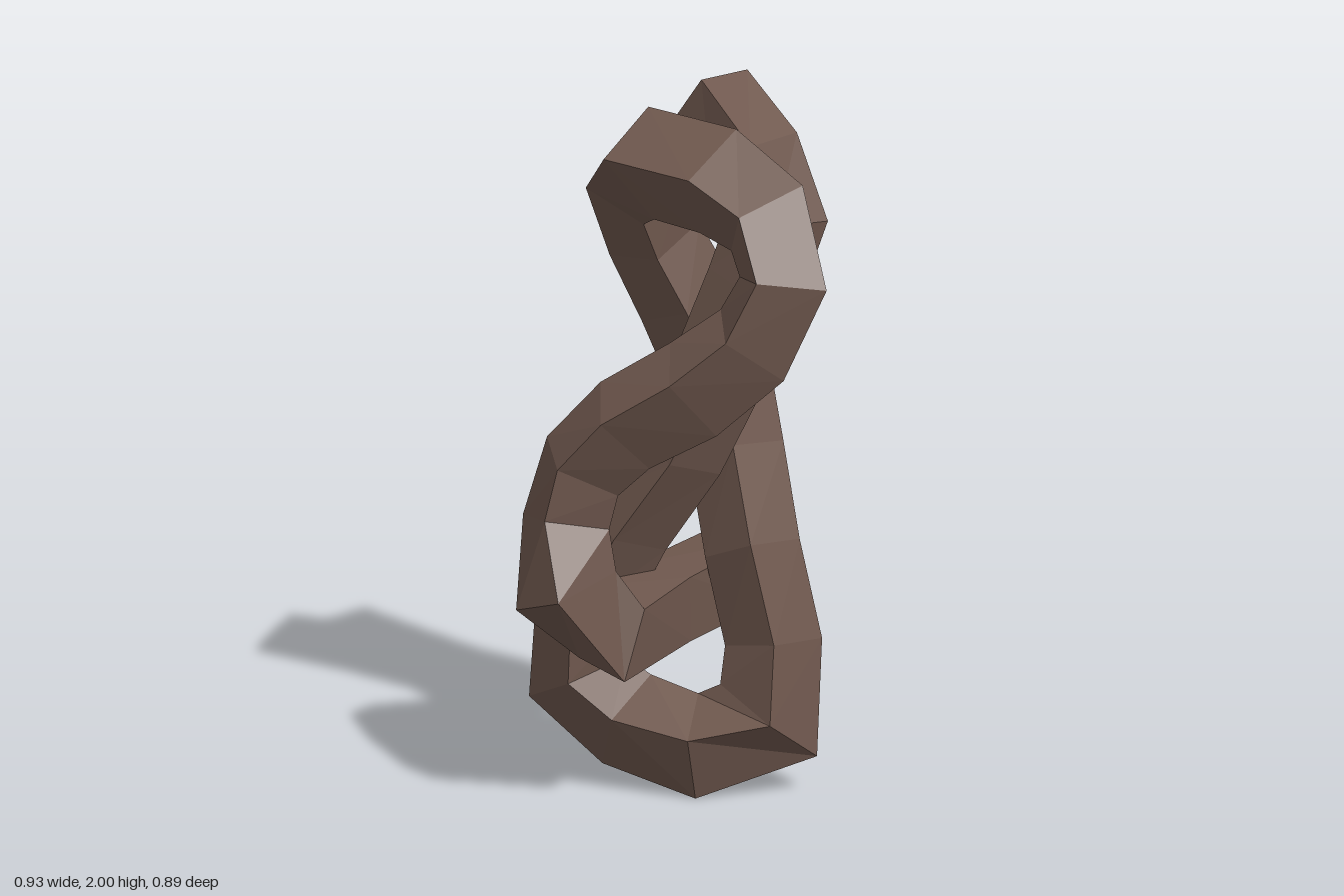
import * as THREE from 'three';

const V = (a) => new THREE.Vector3(...a);
const RADIUS = 0.132; // centre to corner of the square section

// Centreline of the knotted strand: [centre, point one corner aims at or null, size]
const PATH = [
  // upper free end and back strand going down
  [[-0.06, 1.915, -0.25], [0.0, 2.0, -0.34]],
  [[0.11, 1.79, -0.19], [0.2, 1.87, -0.27]],
  [[0.19, 1.62, -0.17]],
  [[0.14, 1.44, -0.13]],
  [[0.06, 1.2, -0.08]],
  [[-0.05, 0.96, -0.05]],
  [[-0.2, 0.73, -0.02]],
  // bottom loop
  [[-0.32, 0.49, 0.0], [-0.46, 0.52, 0.03]],
  [[-0.33, 0.28, 0.01]],
  [[-0.18, 0.18, 0.01], [-0.22, 0.06, 0.05], 1.05],
  [[0.03, 0.13, 0.0], [0.03, 0.0, 0.06], 1.03],
  [[0.2, 0.2, -0.1], [0.32, 0.1, -0.14], 1.05],
  [[0.19, 0.41, -0.15]],
  // rear strand going up
  [[0.11, 0.66, -0.18]],
  [[0.01, 0.9, -0.28]],
  [[-0.06, 1.1, -0.32], null, 1.06],
  [[-0.15, 1.3, -0.3], null, 1.04],
  [[-0.23, 1.48, -0.26]],
  // top loop
  [[-0.25, 1.66, -0.18], [-0.36, 1.67, -0.09]],
  [[-0.14, 1.77, -0.06], [-0.15, 1.92, -0.1], 1.13],
  [[0.08, 1.76, -0.03], [0.07, 1.9, -0.07], 1.15],
  [[0.25, 1.69, 0.01], null, 1.05],
  [[0.33, 1.53, 0.07], [0.46, 1.53, 0.09]],
  [[0.25, 1.35, 0.1], null, 1.05],
  // front strand going down
  [[0.09, 1.21, 0.14], null, 1.12],
  [[-0.1, 1.09, 0.18], null, 1.06],
  [[-0.22, 0.96, 0.2]],
  [[-0.26, 0.8, 0.22], [-0.39, 0.82, 0.21]],
  [[-0.22, 0.63, 0.3], [-0.17, 0.66, 0.44], 1.05],
  // lower free end passing through to the back
  [[-0.13, 0.49, 0.2], [-0.05, 0.39, 0.2]],
  [[-0.1, 0.51, -0.05]],
  [[-0.05, 0.515, -0.41], [0.03, 0.605, -0.4]],
];

// Square rings along the path, mitred at the bends
function makeRings() {
  const c = PATH.map((p) => V(p[0]));
  const n = c.length;
  const seg = c.slice(1).map((p, i) => p.clone().sub(c[i]).normalize());
  const tin = c.map((_, i) => seg[Math.max(i - 1, 0)]);
  const tout = c.map((_, i) => seg[Math.min(i, n - 2)]);
  const tan = c.map((_, i) => tin[i].clone().add(tout[i]).normalize());

  // Untwisted frame carried from ring to ring
  const u = [];
  const flatten = (v, t) => v.addScaledVector(t, -v.dot(t)).normalize();
  for (let i = 0; i < n; i++) {
    if (i === 0) {
      u.push(flatten(V(PATH[0][1]).sub(c[0]), tan[0]));
    } else {
      const q = new THREE.Quaternion().setFromUnitVectors(tan[i - 1], tan[i]);
      u.push(flatten(u[i - 1].clone().applyQuaternion(q), tan[i]));
    }
  }

  // Roll at the aimed rings, shared evenly over the rings between them
  const roll = new Array(n).fill(0);
  let last = 0;
  for (let i = 1; i < n; i++) {
    if (!PATH[i][1]) continue;
    const k = flatten(V(PATH[i][1]).sub(c[i]), tan[i]);
    const w = tan[i].clone().cross(u[i]);
    let r = Math.atan2(k.dot(w), k.dot(u[i]));
    r -= Math.round((r - roll[last]) / (Math.PI / 2)) * (Math.PI / 2);
    for (let j = last + 1; j <= i; j++) {
      roll[j] = THREE.MathUtils.lerp(roll[last], r, (j - last) / (i - last));
    }
    last = i;
  }

  return c.map((p, i) => {
    const w = tan[i].clone().cross(u[i]);
    const bend = tout[i].clone().sub(tin[i]);
    const stretch = Math.min(1 / Math.max(tan[i].dot(tin[i]), 0.1), 1.2) - 1;
    const size = RADIUS * (PATH[i][2] ?? 1);
    if (bend.length() > 1e-4) bend.normalize();
    return [0, 1, 2, 3].map((k) => {
      const a = roll[i] + (k * Math.PI) / 2;
      const o = u[i].clone().multiplyScalar(Math.cos(a)).addScaledVector(w, Math.sin(a));
      o.addScaledVector(bend, o.dot(bend) * stretch);
      return p.clone().addScaledVector(o, size);
    });
  });
}

function strandGeometry() {
  const rings = makeRings();
  const n = rings.length;
  const index = [];
  for (let i = 0; i < n - 1; i++) {
    for (let k = 0; k < 4; k++) {
      const a = i * 4 + k, b = i * 4 + ((k + 1) % 4);
      index.push(a, b, b + 4, a, b + 4, a + 4);
    }
  }
  // Square end caps
  const e = (n - 1) * 4;
  index.push(0, 2, 1, 0, 3, 2, e, e + 1, e + 2, e, e + 2, e + 3);
  const g = new THREE.BufferGeometry().setFromPoints(rings.flat());
  g.setIndex(index);
  const flat = g.toNonIndexed();
  flat.computeVertexNormals();
  return flat;
}

export function createModel() {
  const group = new THREE.Group();
  group.name = 'twistedKnot';
  const brown = new THREE.MeshStandardMaterial({ color: 0x6e574d, flatShading: true });
  brown.name = 'brown';
  const strand = new THREE.Mesh(strandGeometry(), brown);
  strand.name = 'knottedStrand';
  group.add(strand);
  return group;
}
